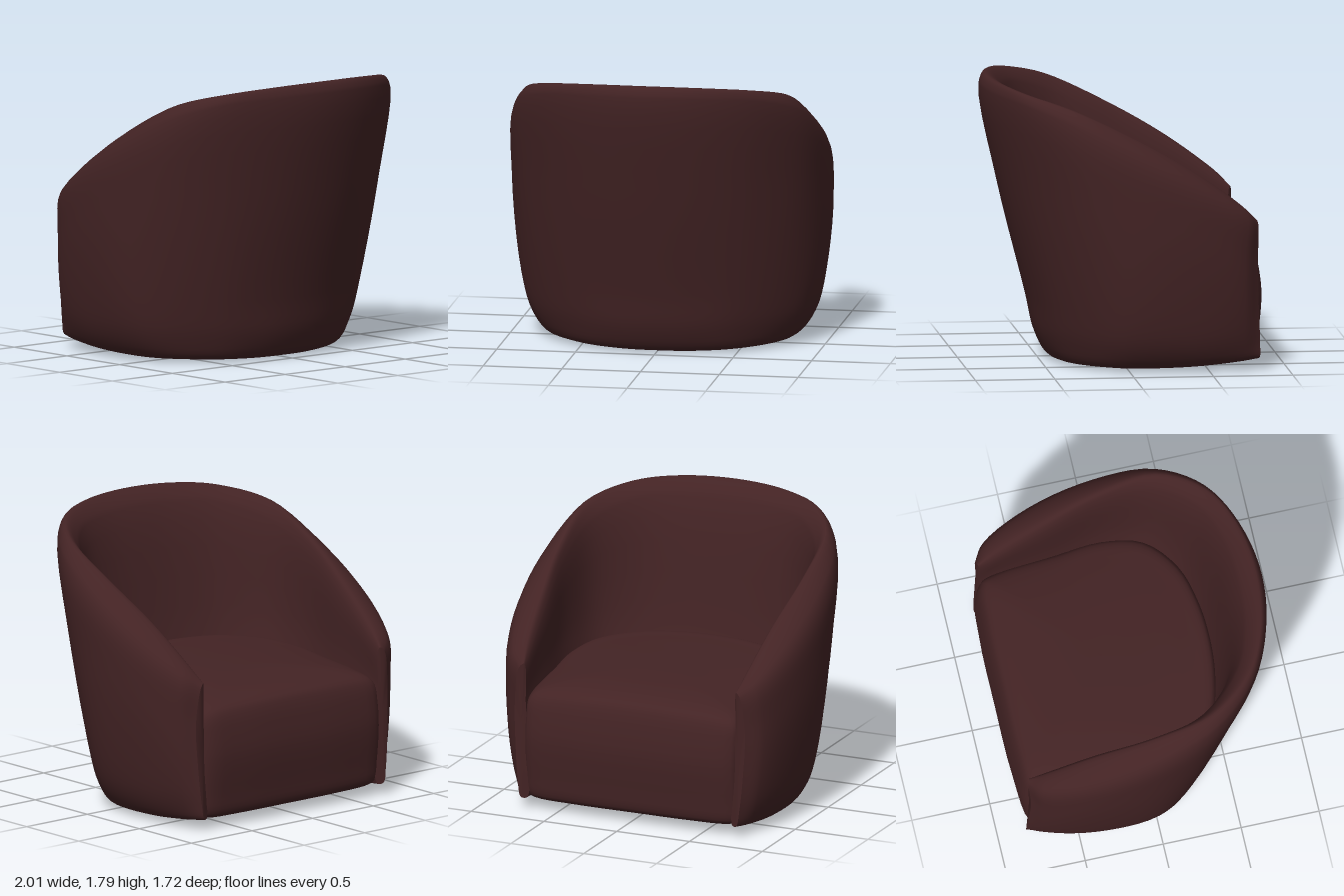
import * as THREE from 'three';

const upholstery = new THREE.MeshStandardMaterial({ color: 0x432324 });
upholstery.name = 'darkLeather';

// Mirror a half line (+x side, last point on x = 0) into a full line.
const mirrored = (half) => [
  ...half,
  ...half.slice(0, -1).reverse().map(([x, y, z]) => [-x, y, z]),
];

const spline = (points, closed) => new THREE.CatmullRomCurve3(points, closed);

// Evenly spaced samples; a closed curve does not repeat its first point.
function sample(curve, n) {
  const pts = [];
  const last = curve.closed ? n : n - 1;
  for (let i = 0; i < n; i++) pts.push(curve.getPoint(i / last));
  return pts;
}

// Smooth surface through guide lines: columns[u][v], either way may wrap.
function loft(lines, closedU, closedV, nu, nv) {
  const along = lines.map((l) => sample(spline(l.map((p) => new THREE.Vector3(...p)), closedU), nu));
  const columns = [];
  for (let u = 0; u < nu; u++) columns.push(sample(spline(along.map((l) => l[u]), closedV), nv));

  const position = [], index = [];
  columns.flat().forEach((p) => position.push(p.x, p.y, p.z));
  for (let u = 0; u < (closedU ? nu : nu - 1); u++) {
    for (let v = 0; v < (closedV ? nv : nv - 1); v++) {
      const a = u * nv + v, b = ((u + 1) % nu) * nv + v;
      const c = u * nv + ((v + 1) % nv), d = ((u + 1) % nu) * nv + ((v + 1) % nv);
      index.push(a, b, c, b, d, c);
    }
  }

  // Flat caps with their own vertices where an open line ends.
  if (!closedU) {
    [columns[0], columns[nu - 1]].forEach((ring, end) => {
      const start = position.length / 3;
      const centre = new THREE.Vector3();
      ring.forEach((p) => { centre.addScaledVector(p, 1 / nv); position.push(p.x, p.y, p.z); });
      position.push(centre.x, centre.y, centre.z);
      for (let v = 0; v < nv; v++) {
        const a = start + v, b = start + ((v + 1) % nv);
        index.push(start + nv, end ? b : a, end ? a : b);
      }
    });
  }

  const geometry = new THREE.BufferGeometry();
  geometry.setAttribute('position', new THREE.Float32BufferAttribute(position, 3));
  geometry.setIndex(index);
  geometry.computeVertexNormals();
  return geometry;
}

// Wraparound back and arms: guide lines from an arm front to the middle of the back.
function makeShell() {
  const crest = [[.73, .95, -.8], [.76, 1.06, -.68], [.8, 1.28, -.38], [.84, 1.5, 0],
    [.82, 1.67, .36], [.62, 1.75, .64], [.36, 1.78, .77], [0, 1.79, .82]];
  const shoulder = [[.76, .92, -.81], [.85, .99, -.735], [.95, 1.18, -.42], [.97, 1.4, 0],
    [.89, 1.58, .37], [.68, 1.68, .64], [.37, 1.71, .8], [0, 1.72, .86]];
  const outerMiddle = [[.79, .7, -.8], [.885, .74, -.715], [.985, .88, -.4], [.99, 1.02, 0],
    [.89, 1.08, .3], [.62, 1.1, .565], [.31, 1.1, .705], [0, 1.1, .745]];
  const outerLower = [[.78, .4, -.81], [.865, .4, -.715], [.94, .4, -.4], [.93, .4, 0],
    [.79, .4, .24], [.53, .4, .445], [.26, .4, .54], [0, .4, .57]];
  const outerFoot = [[.76, .18, -.82], [.82, .17, -.71], [.88, .15, -.4], [.86, .15, 0],
    [.73, .15, .21], [.49, .15, .395], [.24, .15, .485], [0, .15, .51]];
  const bottomEdge = [[.74, .08, -.82], [.77, .065, -.7], [.8, .04, -.4], [.77, .03, -.02],
    [.67, .03, .17], [.46, .025, .335], [.22, .02, .41], [0, .02, .43]];
  const bottomInside = [[.7, .08, -.8], [.71, .07, -.7], [.71, .05, -.4], [.66, .04, -.02],
    [.56, .04, .12], [.39, .035, .24], [.2, .03, .31], [0, .03, .33]];
  const seatLine = [[.72, .7, -.79], [.73, .74, -.7], [.75, .8, -.4], [.78, .85, 0],
    [.71, .85, .27], [.51, .85, .44], [.27, .85, .51], [0, .85, .53]];
  const innerUpper = [[.72, .92, -.79], [.73, 1, -.68], [.76, 1.2, -.38], [.8, 1.4, 0],
    [.76, 1.56, .32], [.55, 1.66, .57], [.3, 1.68, .67], [0, 1.69, .7]];
  const lines = [crest, shoulder, outerMiddle, outerLower, outerFoot,
    bottomEdge, bottomInside, seatLine, innerUpper].map(mirrored);
  return loft(lines, false, true, 71, 45);
}

// Seat block: one plan outline resized layer by layer, from top to underside.
function makeSeat() {
  const outline = [[.45, -.855], [.7, -.82], [.74, -.72], [.77, -.3], [.79, 0],
    [.72, .26], [.5, .44], [.25, .51]];
  const plan = [[0, -.86], ...outline, [0, .53],
    ...outline.slice().reverse().map(([x, z]) => [-x, z])];
  // size, height at the front, height at the back, extra size of the rear, crown
  const layers = [
    [.002, .855, .86, 1, 0], [.4, .84, .87, 1.03, .015], [.75, .81, .87, 1.06, .025],
    [.9, .765, .86, 1.06, .02], [.945, .71, .8, 1.05, .01], [.98, .6, .66, .97, 0],
    [1, .45, .46, .9, 0], [.97, .22, .22, .82, 0], [.945, .1, .08, .74, 0],
    [.9, .07, .035, .74, 0], [.6, .03, .01, .74, 0], [.002, .002, .002, 1, 0],
  ];
  const midZ = -.17;
  const lines = layers.map(([size, front, back, rear, crown]) => plan.map(([x, z]) => {
    const taper = THREE.MathUtils.lerp(1, Math.min(1, rear), THREE.MathUtils.smoothstep(z, -.2, .2));
    const px = x * Math.min(1, size * 1.05) * taper;
    const pz = midZ + (z - midZ) * size * (z > midZ ? rear : 1);
    const y = THREE.MathUtils.lerp(front, back, (pz + .86) / 1.39);
    return [px, y - crown * (px / .75) ** 2, pz];
  }));
  return loft(lines, true, false, 72, 45);
}

export function createModel() {
  const model = new THREE.Group();
  model.name = 'tubChair';
  const parts = { backAndArms: makeShell(), seat: makeSeat() };
  for (const [name, geometry] of Object.entries(parts)) {
    const mesh = new THREE.Mesh(geometry, upholstery);
    mesh.name = name;
    model.add(mesh);
  }
  return model;
}
